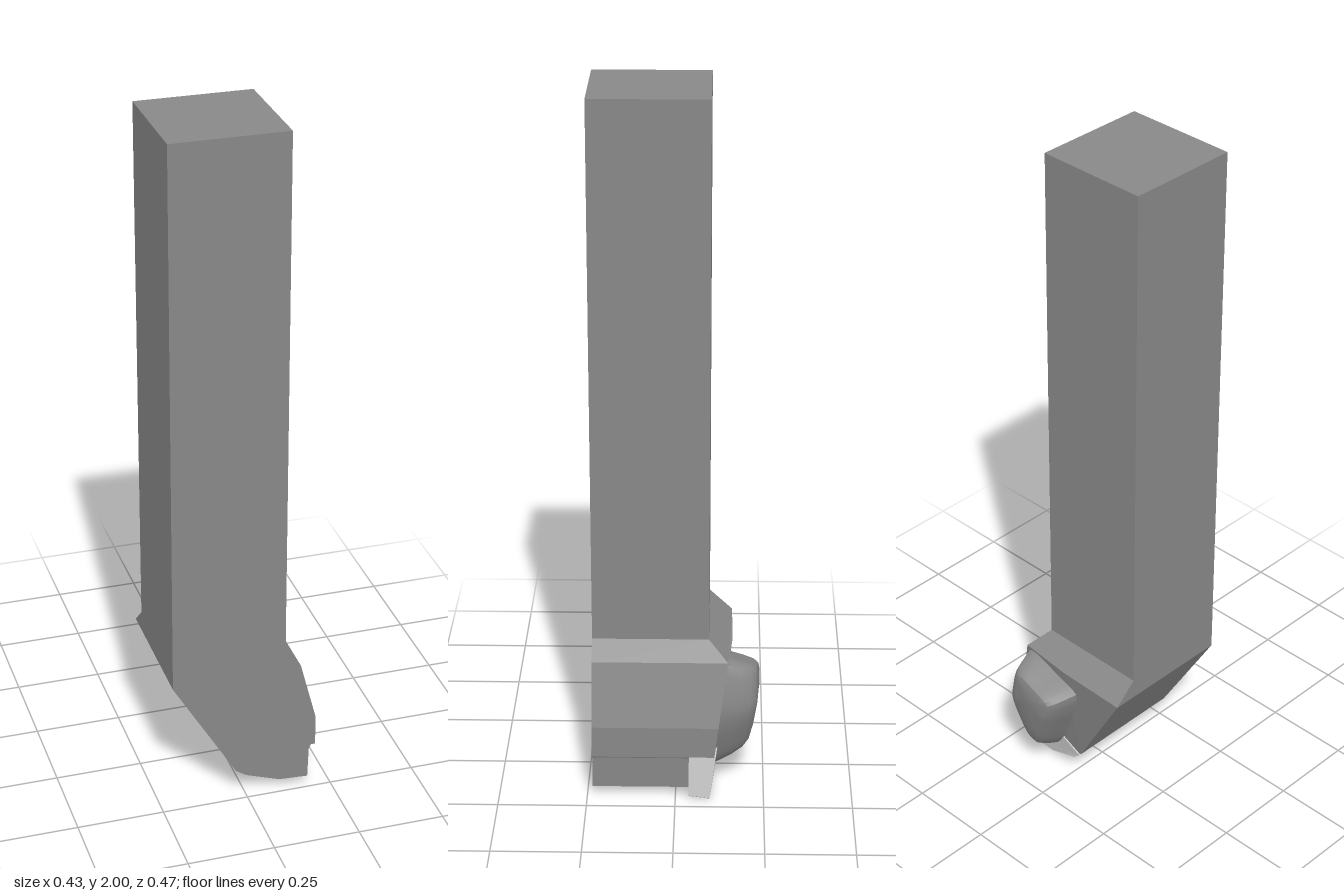
import * as THREE from 'three';
import { toCreasedNormals } from 'three/addons/utils/BufferGeometryUtils.js';

const steel = new THREE.MeshStandardMaterial({ color: 0x888888 });
const carbide = new THREE.MeshStandardMaterial({ color: 0xcccccc });

function add(group, name, geometry, material = steel) {
  const mesh = new THREE.Mesh(geometry, material);
  mesh.name = name;
  group.add(mesh);
  return mesh;
}

// Extrudes an outline in x/y, then lets a rule place the front and back ends.
function prism(outline, place) {
  const shape = new THREE.Shape(outline.map(([x, y]) => new THREE.Vector2(x, y)));
  const geometry = new THREE.ExtrudeGeometry(shape, { depth: 1, bevelEnabled: false });
  const pos = geometry.attributes.position;
  for (let i = 0; i < pos.count; i++) {
    pos.setXYZ(i, ...place(pos.getX(i), pos.getY(i), pos.getZ(i) < 0.5));
  }
  geometry.computeVertexNormals();
  return geometry;
}

// Leaning back face of the head, with a slight bend at x = 0
const backZ = (x, y) => -0.11 - 0.125 * (y - 0.13) + 0.075 * (Math.max(x, 0) - 0.2);

// Domed clamp: rings of one rounded outline shrinking towards the crown
function clampGeometry() {
  const outline = [
    [-0.045, 0.34], [-0.035, 0.29], [0.0, 0.2], [0.055, 0.085], [0.085, 0.055], [0.115, 0.065],
    [0.155, 0.14], [0.185, 0.25], [0.166, 0.365], [0.15, 0.396], [0.125, 0.4], [0.04, 0.376], [-0.03, 0.352],
  ].map(([x, y]) => new THREE.Vector3(x, y, 0));
  const sides = 48;
  const ring = new THREE.CatmullRomCurve3(outline, true, 'centripetal').getSpacedPoints(sides).slice(0, sides);
  const levels = [[1, 0], [0.88, -0.186], [0.78, -0.215], [0.67, -0.229], [0.5, -0.234], [0, -0.235]];
  const cx = 0.07, cy = 0.29;
  const positions = [], index = [];
  levels.forEach(([s, z], k) => {
    for (const p of ring) {
      const x = cx + (p.x - cx) * s, y = cy + (p.y - cy) * s;
      const crown = z + 0.15 * Math.max(0, 0.27 - y) + 0.06 * (x - cx);
      positions.push(x, y, k === 0 ? backZ(x, y) + 0.005 : crown);
    }
  });
  for (let k = 0; k < levels.length - 1; k++) {
    for (let i = 0; i < sides; i++) {
      const a = k * sides + i, b = k * sides + (i + 1) % sides;
      index.push(a, a + sides, b);
      if (k < levels.length - 2) index.push(b, a + sides, b + sides);
    }
  }
  const geometry = new THREE.BufferGeometry();
  geometry.setAttribute('position', new THREE.Float32BufferAttribute(positions, 3));
  geometry.setIndex(index);
  return toCreasedNormals(geometry, 0.6);
}

export function createModel() {
  const group = new THREE.Group();
  group.name = 'turningTool';

  // Square shank
  const shank = add(group, 'shank', new THREE.BoxGeometry(0.328, 1.543, 0.328));
  shank.position.set(-0.05, 1.2285, 0.071);

  // Flared neck between shank and head
  const neck = [[-0.214, 0.396], [0, 0.401], [0.16, 0.406], [0.114, 0.457], [-0.214, 0.457]];
  add(group, 'neck', prism(neck, (x, y, back) =>
    [x, y, back ? (y > 0.45 ? -0.093 : backZ(x, y)) : 0.235]));

  // Angled head with a stepped seat
  const head = [
    [-0.214, 0.396], [-0.03, 0.086], [0, 0.066], [0.1, 0.031], [0.185, 0.026],
    [0.188, 0.12], [0.194, 0.133], [0.207, 0.133], [0.207, 0.225], [0.16, 0.406], [0, 0.401],
  ];
  add(group, 'head', prism(head, (x, y, back) => [x, y, back ? backZ(x, y) : 0.235]));

  // Cutting insert, tapering away from its cutting edge
  const insert = [[-0.025, 0.08], [0, 0.056], [0.1, 0.012], [0.204, 0], [0.213, 0.006], [0.2, 0.13], [0.1, 0.14]];
  add(group, 'cuttingInsert', prism(insert, (x, y, back) => {
    const s = back ? 1 : 0.95;
    return [0.1 + (x - 0.1) * s, 0.1 + (y - 0.1) * s, back ? backZ(x, y) - 0.004 : -0.038];
  }), carbide);

  add(group, 'clamp', clampGeometry());
  return group;
}
